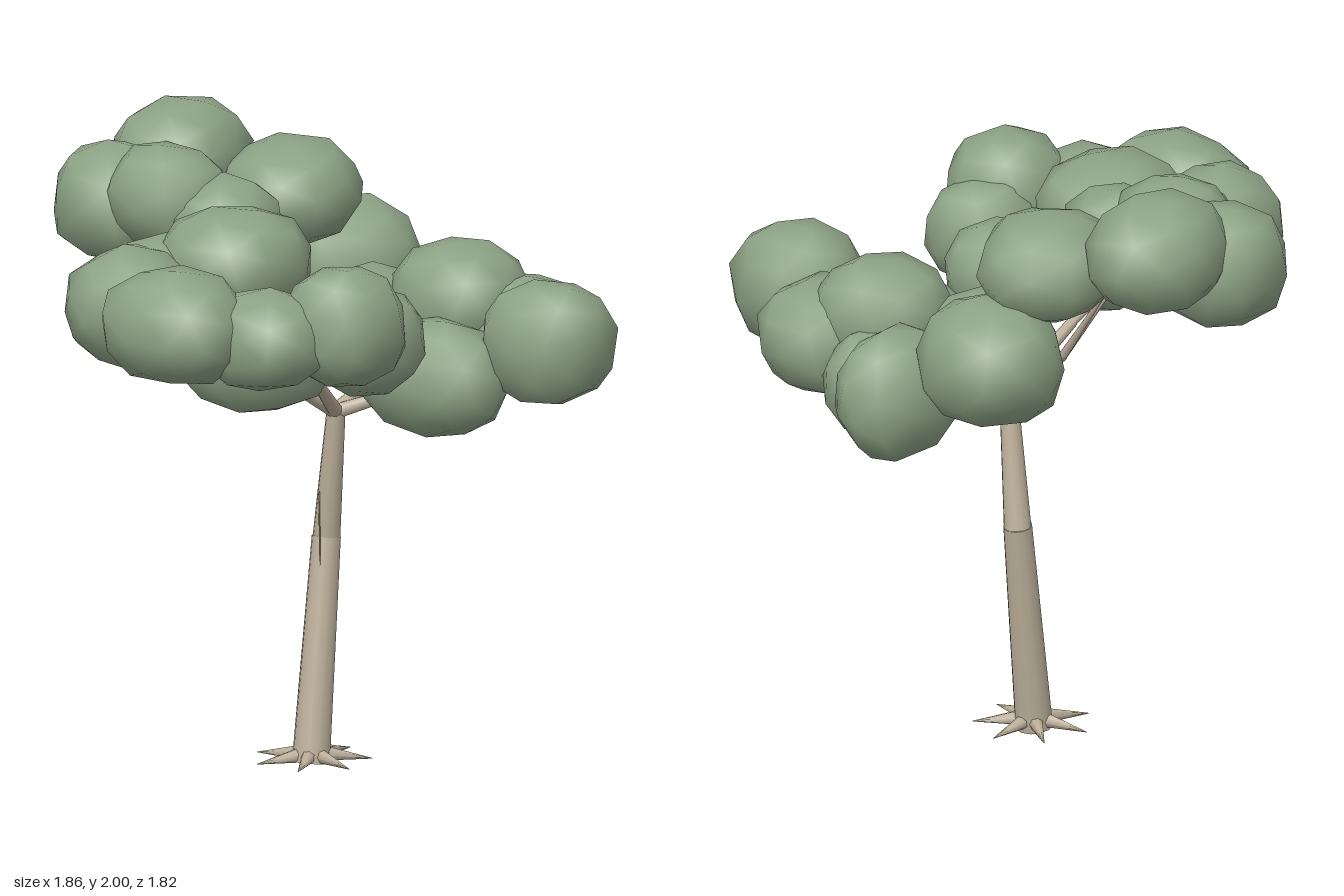
import * as THREE from 'three';
import { mergeVertices } from 'three/addons/utils/BufferGeometryUtils.js';

const bark = new THREE.MeshStandardMaterial({ color: 0xbdb09a });
bark.name = 'bark';
const leaf = new THREE.MeshStandardMaterial({ color: 0x8da385 });
leaf.name = 'leaf green';

function seeded(seed) {
  return () => {
    seed = (seed * 16807) % 2147483647;
    return seed / 2147483647;
  };
}

// Tapered limb between two points
function limb(name, a, b, r0, r1, sides = 10) {
  const p = new THREE.Vector3(...a), q = new THREE.Vector3(...b);
  const d = q.clone().sub(p);
  const mesh = new THREE.Mesh(new THREE.CylinderGeometry(r1, r0, d.length(), sides), bark);
  mesh.position.copy(p).add(q).multiplyScalar(0.5);
  mesh.quaternion.setFromUnitVectors(new THREE.Vector3(0, 1, 0), d.normalize());
  mesh.name = name;
  return mesh;
}

// Lumpy, smooth-shaded leaf cluster, slightly squarer than an ellipsoid
function cluster([x, y, z, rx, ry, rz, yaw = 0], index) {
  const rand = seeded(131 + index * 977);
  let geo = new THREE.IcosahedronGeometry(1, 1);
  geo.deleteAttribute('uv');
  geo.deleteAttribute('normal');
  geo = mergeVertices(geo, 1e-3);
  geo.rotateY(rand() * 6).rotateX(rand() * 6);
  const pos = geo.attributes.position;
  const swell = (v) => Math.sign(v) * Math.abs(v) ** 0.88;
  for (let i = 0; i < pos.count; i++) {
    const k = 0.96 + rand() * 0.1;
    pos.setXYZ(i, swell(pos.getX(i)) * k * rx, swell(pos.getY(i)) * k * ry, swell(pos.getZ(i)) * k * rz);
  }
  geo.computeVertexNormals();
  const mesh = new THREE.Mesh(geo, leaf);
  mesh.position.set(x, y, z);
  mesh.rotation.y = yaw;
  mesh.name = 'leafCluster' + (index + 1);
  return mesh;
}

export function createModel() {
  const tree = new THREE.Group();
  tree.name = 'tree';

  // Bent trunk in two sections
  const fork = [0.11, 1.13, 0.045];
  tree.add(limb('lowerTrunk', [0.035, 0.01, 0.005], [0.14, 0.715, -0.018], 0.06, 0.046, 12));
  tree.add(limb('upperTrunk', [0.14, 0.705, -0.018], fork, 0.044, 0.03, 12));
  tree.add(limb('hangingTwig', [0.085, 0.63, 0], [0.083, 0.87, 0], 0.003, 0.003, 4));

  // Star of pointed roots
  const roots = new THREE.Group();
  roots.name = 'roots';
  for (let i = 0; i < 7; i++) {
    const a = (i / 7) * Math.PI * 2, c = Math.cos(a), s = Math.sin(a);
    roots.add(limb('root', [0.04 + c * 0.03, 0.038, 0.005 + s * 0.03],
      [0.04 + c * 0.19, 0.022, 0.005 + s * 0.19], 0.026, 0.001, 7));
  }
  tree.add(roots);

  // Branches, each bending once on its way into the leaves
  const branches = new THREE.Group();
  branches.name = 'branches';
  [
    [[0.1, 1.31, -0.17], [0.12, 1.6, -0.38]],
    [[0.1, 1.31, -0.17], [0.04, 1.58, -0.34]],
    [[-0.17, 1.3, 0.02], [-0.4, 1.46, -0.06]],
    [[-0.13, 1.29, 0.16], [-0.33, 1.43, 0.27]],
    [[0.28, 1.22, 0.07], [0.6, 1.31, 0.06]],
    [[0.22, 1.21, 0.24], [0.4, 1.34, 0.46]],
  ].forEach(([mid, tip]) => {
    branches.add(limb('branchBase', fork, mid, 0.025, 0.017, 8));
    branches.add(limb('branchTip', mid, tip, 0.015, 0.005, 8));
  });
  tree.add(branches);

  // Canopy: x, y, z, radius on each axis, then turn about y
  const crown = new THREE.Group();
  crown.name = 'canopy';
  [
    // back, highest
    [-0.03, 1.72, -0.71, 0.21, 0.19, 0.21], [0.22, 1.82, -0.67, 0.25, 0.18, 0.21, 0.2],
    [-0.06, 1.77, -0.49, 0.18, 0.17, 0.2], [-0.035, 1.69, -0.29, 0.18, 0.17, 0.19],
    [0.36, 1.735, -0.34, 0.26, 0.165, 0.22, 0.5],
    // left and front left, lowest
    [0.6, 1.475, -0.3, 0.23, 0.205, 0.24, -0.4], [0.31, 1.4, -0.01, 0.21, 0.15, 0.15],
    [0.475, 1.46, 0.25, 0.21, 0.18, 0.22], [0.7, 1.32, -0.005, 0.225, 0.205, 0.17],
    [0.61, 1.3, 0.13, 0.2, 0.18, 0.17], [0.55, 1.37, 0.42, 0.215, 0.18, 0.21],
    [0.2, 1.27, 0.36, 0.17, 0.185, 0.27], [0.355, 1.41, 0.7, 0.19, 0.2, 0.215],
    // right and front right
    [-0.27, 1.66, -0.06, 0.25, 0.18, 0.24, 0.2], [-0.58, 1.56, -0.21, 0.22, 0.19, 0.2],
    [-0.39, 1.57, -0.22, 0.23, 0.18, 0.19, -0.25], [-0.73, 1.565, 0.08, 0.2, 0.18, 0.25],
    [-0.57, 1.53, 0.31, 0.19, 0.155, 0.21], [-0.39, 1.56, 0.48, 0.19, 0.195, 0.19],
    [-0.23, 1.48, 0.44, 0.18, 0.175, 0.18], [-0.05, 1.46, 0.21, 0.185, 0.155, 0.175],
    [-0.42, 1.42, 0.15, 0.25, 0.165, 0.23],
  ].forEach((c, i) => crown.add(cluster(c, i)));
  tree.add(crown);

  return tree;
}
